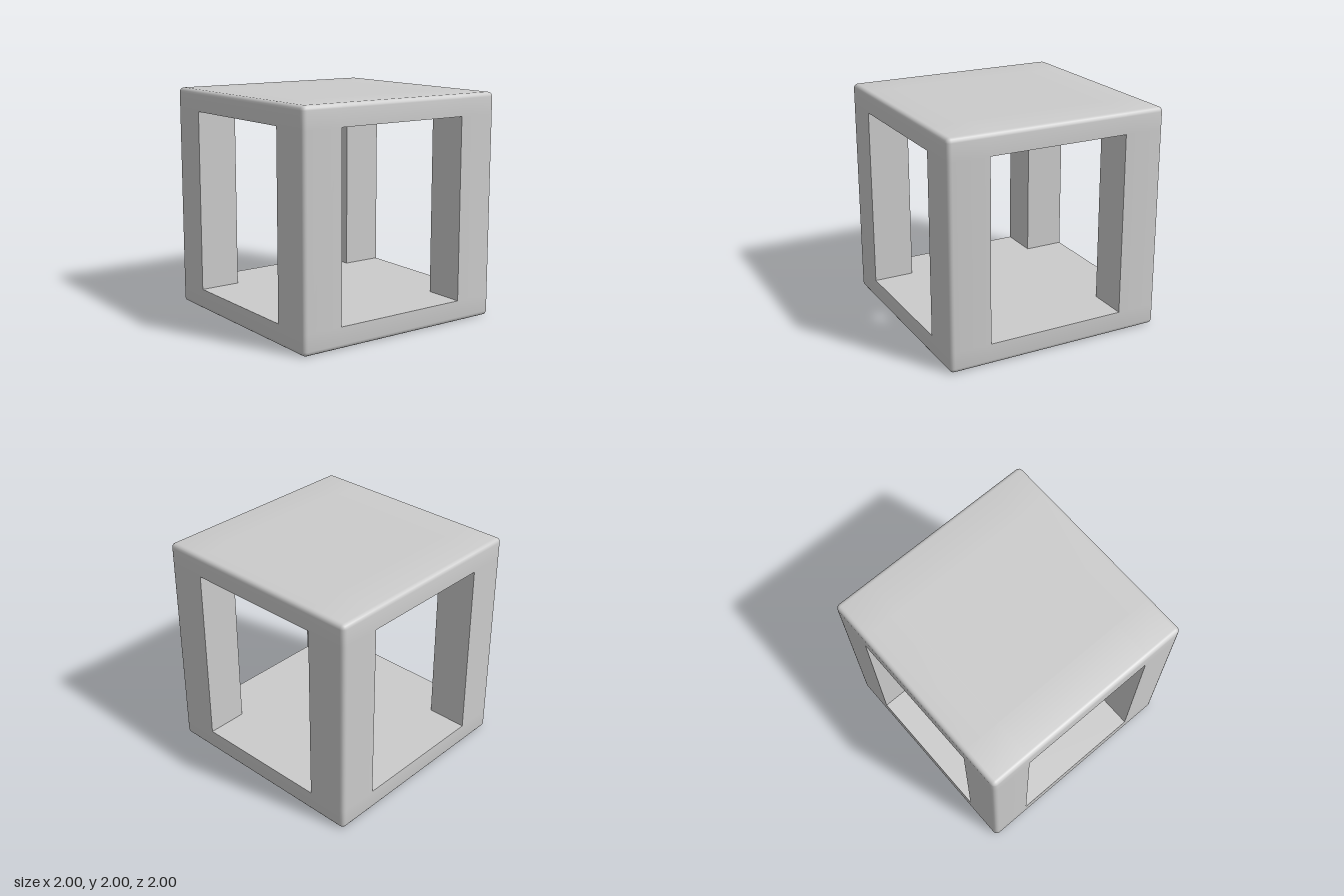
import * as THREE from 'three';
import { toCreasedNormals } from 'three/addons/utils/BufferGeometryUtils.js';

const R = 0.04;          // outer edge rounding
const K = 2;             // rounding segments on each side of an edge
const WIN = 0.63;        // half width of the windows
const WIN_H = 0.81;      // half height of the windows
const N = 2 * K + 3;     // grid cells per cube face

const material = new THREE.MeshStandardMaterial({ color: 0xcccccc });

// Grid lines along one axis: rounded edge, window border, rounded edge
function gridLines(windowHalf) {
  const outer = [];
  for (let j = 0; j <= K; j++) outer.push(1 - R + R * Math.tan((Math.PI / 4) * (1 - j / K)));
  outer.push(windowHalf);
  return [...outer.map((v) => -v), ...outer.reverse()];
}

// Rounded cube with a window cut in each of its four sides
function shellGeometry() {
  const geo = new THREE.BoxGeometry(2, 2, 2, N, N, N);
  const pos = geo.attributes.position;
  const wide = gridLines(WIN), tall = gridLines(WIN_H);
  const snap = (v, lines) => lines[Math.round(((v + 1) / 2) * N)];
  const p = new THREE.Vector3(), core = new THREE.Vector3();
  const raw = (v, lines) => (Math.abs(v) > 0.9999 ? Math.sign(v) : snap(v, lines));
  for (let i = 0; i < pos.count; i++) {
    p.set(raw(pos.getX(i), wide), raw(pos.getY(i), tall), raw(pos.getZ(i), wide));
    core.copy(p).clampScalar(-(1 - R), 1 - R);
    p.sub(core).setLength(R).add(core);
    pos.setXYZ(i, p.x, p.y, p.z);
  }
  // Keep every triangle that is not inside a window
  const kept = [], src = geo.index.array, c = new THREE.Vector3();
  for (let i = 0; i < src.length; i += 3) {
    c.set(0, 0, 0);
    for (let j = 0; j < 3; j++) c.add(p.fromBufferAttribute(pos, src[i + j]));
    c.divideScalar(3);
    const inWindow = Math.abs(c.y) < WIN_H && Math.min(Math.abs(c.x), Math.abs(c.z)) < WIN;
    if (!inWindow) kept.push(src[i], src[i + 1], src[i + 2]);
  }
  geo.setIndex(kept);
  geo.clearGroups();
  geo.deleteAttribute('uv');
  return toCreasedNormals(geo, 0.9);
}

// Cross-shaped inner surface of a slab, leaving out the four posts
function crossGeometry() {
  const w = WIN;
  const pts = [[w, -1], [w, -w], [1, -w], [1, w], [w, w], [w, 1],
    [-w, 1], [-w, w], [-1, w], [-1, -w], [-w, -w], [-w, -1]];
  return new THREE.ShapeGeometry(new THREE.Shape(pts.map(([x, y]) => new THREE.Vector2(x, y))));
}

export function createModel() {
  const model = new THREE.Group();
  model.name = 'openCubeFrame';
  const add = (name, geo, parent = model) => {
    const mesh = new THREE.Mesh(geo, material);
    mesh.name = name;
    parent.add(mesh);
    return mesh;
  };

  add('outerShell', shellGeometry()).position.y = 1;

  // Inner faces of the top and bottom slabs
  const ceiling = add('ceiling', crossGeometry());
  ceiling.rotation.x = Math.PI / 2;
  ceiling.position.y = 1 + WIN_H;
  const floor = add('floor', crossGeometry());
  floor.rotation.x = -Math.PI / 2;
  floor.position.y = 1 - WIN_H;

  // Two inner faces for each corner post
  const depth = 1 - WIN, mid = (1 + WIN) / 2;
  for (let i = 0; i < 4; i++) {
    const post = new THREE.Group();
    post.name = `postInside${i + 1}`;
    post.rotation.y = (i * Math.PI) / 2;
    post.position.y = 1;
    const sideFace = add('postSideFace', new THREE.PlaneGeometry(depth, 2 * WIN_H), post);
    sideFace.rotation.y = -Math.PI / 2;
    sideFace.position.set(WIN, 0, mid);
    const backFace = add('postBackFace', new THREE.PlaneGeometry(depth, 2 * WIN_H), post);
    backFace.rotation.y = Math.PI;
    backFace.position.set(mid, 0, WIN);
    model.add(post);
  }
  return model;
}
